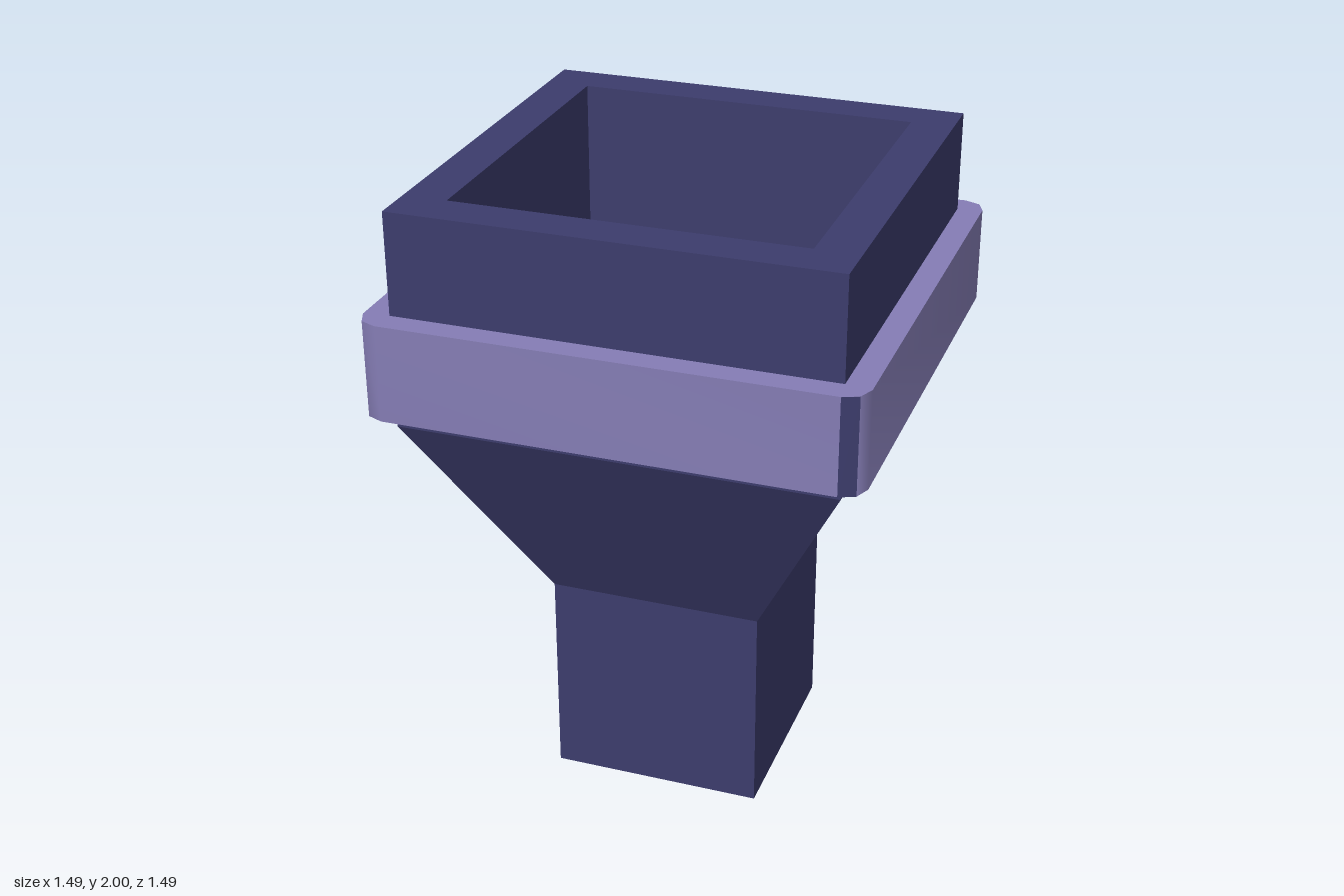
import * as THREE from 'three';
import { toCreasedNormals } from 'three/addons/utils/BufferGeometryUtils.js';

const navy = new THREE.MeshStandardMaterial({ color: 0x3c3c6c, flatShading: true });
const purple = new THREE.MeshStandardMaterial({ color: 0x857db5 });

// Square tube: profile of [half width, height], outside going up, inside going down
function squareTube(profile) {
  const points = profile.map(([h, y]) => new THREE.Vector2(h * Math.SQRT2, y));
  return new THREE.LatheGeometry(points, 4, Math.PI / 4).toNonIndexed();
}

// Square with chamfer-rounded corners, two facets per corner
function roundedSquare(half, radius) {
  const shape = new THREE.Shape();
  const c = half - radius;
  const points = [];
  [[1, 1], [-1, 1], [-1, -1], [1, -1]].forEach(([sx, sy], corner) => {
    for (let i = 0; i <= 2; i++) {
      const a = (corner + i / 2) * Math.PI / 2;
      points.push(new THREE.Vector2(sx * c + radius * Math.cos(a), sy * c + radius * Math.sin(a)));
    }
  });
  return shape.setFromPoints(points);
}

export function createModel() {
  const model = new THREE.Group();

  // Hollow funnel: narrow neck, sloped cone and wide mouth
  const funnel = new THREE.Mesh(squareTube([
    [0.333, 0], [0.333, 0.67], [0.667, 1.333], [0.667, 2],
    [0.533, 2], [0.533, 1.333], [0.2, 0.67], [0.2, 0], [0.333, 0],
  ]), navy);
  funnel.geometry.computeVertexNormals();
  funnel.name = 'funnelBody';
  model.add(funnel);

  // Collar band around the mouth
  const bottom = 1.385, height = 0.3, half = 0.745, radius = 0.068;
  const outline = roundedSquare(half, radius);
  const h = 0.667;
  outline.holes.push(new THREE.Path([[-h, -h], [-h, h], [h, h], [h, -h]].map(p => new THREE.Vector2(...p))));
  const bandGeometry = new THREE.ExtrudeGeometry(outline, { depth: height, bevelEnabled: false });
  bandGeometry.rotateX(-Math.PI / 2);
  const band = new THREE.Mesh(toCreasedNormals(bandGeometry, 0.9), purple);
  band.position.y = bottom;
  band.name = 'collarBand';
  model.add(band);

  // Dark seam on one facet of the front left corner
  const angle = Math.PI / 8;
  const reach = radius * Math.cos(angle) + 0.001;
  const seam = new THREE.Mesh(new THREE.PlaneGeometry(2 * radius * Math.sin(angle), height), navy);
  seam.position.set(half - radius + reach * Math.sin(angle), bottom + height / 2, half - radius + reach * Math.cos(angle));
  seam.rotation.y = angle;
  seam.name = 'bandSeam';
  model.add(seam);

  return model;
}
